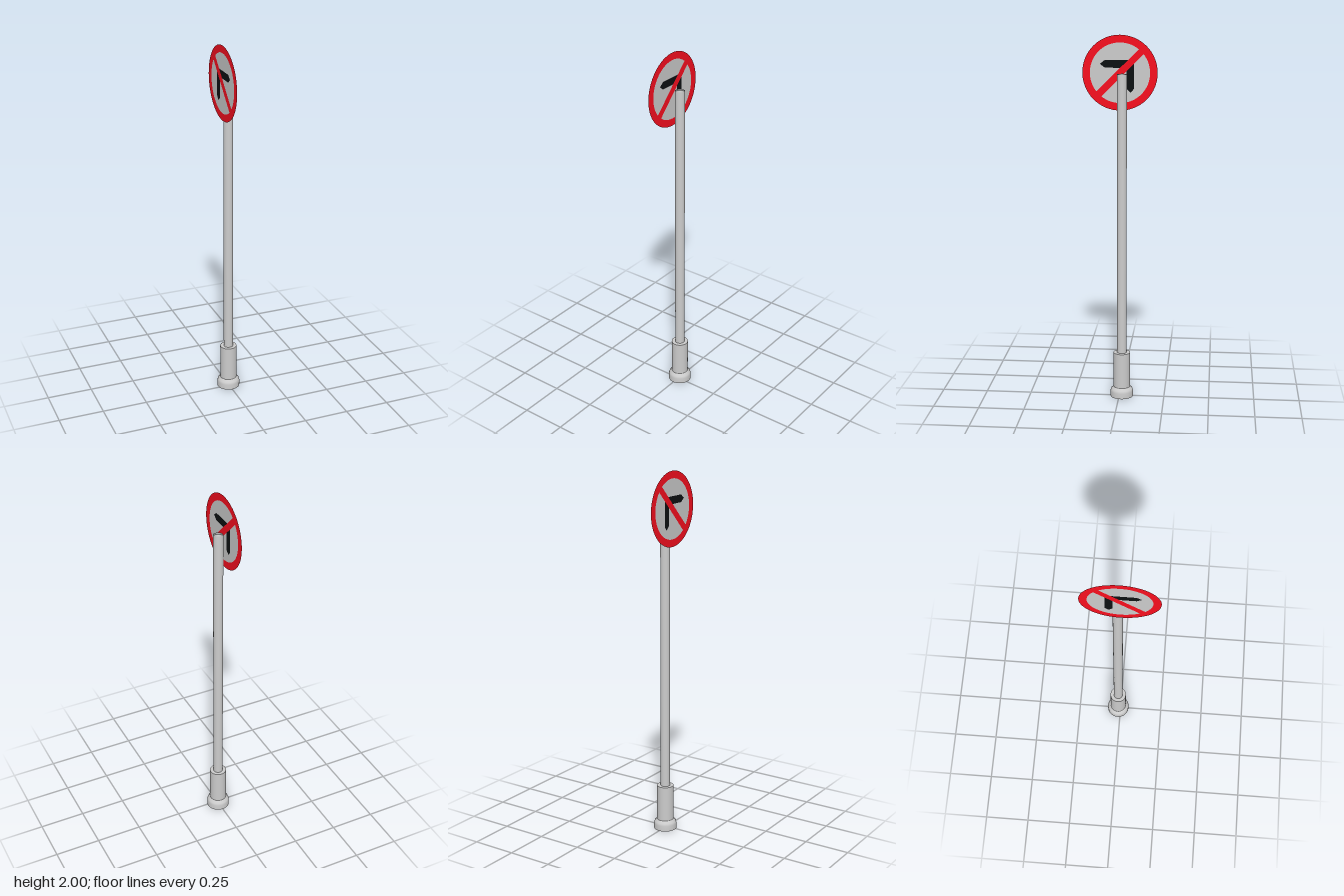
import * as THREE from 'three';

const POLE_Z = -0.014;
const SIGN = { x: -0.037, y: 1.8, radius: 0.2, inner: 0.16 };

const grey = new THREE.MeshStandardMaterial({ color: 0xcccccc });
const flat = (color) => new THREE.MeshStandardMaterial({ color, side: THREE.DoubleSide });

// Turned part, profile given as [radius, height] from the bottom up
function turned(name, profile) {
  const points = profile.map(([r, y]) => new THREE.Vector2(r, y));
  const mesh = new THREE.Mesh(new THREE.LatheGeometry(points, 40), grey);
  mesh.name = name;
  mesh.position.z = POLE_Z;
  return mesh;
}

function polygon(points) {
  return new THREE.ShapeGeometry(new THREE.Shape(points.map(([u, v]) => new THREE.Vector2(u, v))));
}

export function createModel() {
  const model = new THREE.Group();
  model.name = 'roadSign';

  // Post: foot, sleeve and slim pole with a softly shaded cap
  model.add(
    turned('footBottom', [[0, 0], [0.063, 0]]),
    turned('foot', [[0.063, 0], [0.063, 0.03], [0.059, 0.043], [0.046, 0.056]]),
    turned('sleeve', [[0.046, 0.056], [0.046, 0.255]]),
    turned('sleeveTop', [[0.046, 0.255], [0.024, 0.255]]),
    turned('pole', [[0.026, 0.25], [0.026, 1.797], [0, 1.8]])
  );

  // Sign plate, drawn in its own plane: u runs towards -z, v runs up
  const sign = new THREE.Group();
  sign.name = 'signPlate';
  sign.position.set(SIGN.x, SIGN.y, 0);
  sign.rotation.y = Math.PI / 2;
  model.add(sign);

  const addLayer = (name, geometry, material, offset = 0) => {
    const mesh = new THREE.Mesh(geometry, material);
    mesh.name = name;
    mesh.position.z = offset;
    sign.add(mesh);
  };

  const red = flat(0xf80f1f);
  const black = flat(0x0d1012);
  addLayer('signFace', new THREE.CircleGeometry(SIGN.inner, 64), flat(0xcccccc));
  addLayer('signRim', new THREE.RingGeometry(SIGN.inner, SIGN.radius, 64, 1), red);

  // Bent arrow with a notched tail, and the diagonal bar over it
  const arrow = polygon([
    [-0.106, 0.047], [-0.08, 0.068], [0.062, 0.068], [0.074, 0.056], [0.074, -0.085],
    [0.056, -0.105], [0.036, -0.085], [0.036, 0.027], [-0.08, 0.027]
  ]);
  const bar = new THREE.PlaneGeometry(0.326, 0.036).rotateZ(Math.PI / 4);
  for (const side of [-1, 1]) {
    addLayer('arrow', arrow, black, side * 0.001);
    addLayer('diagonalBar', bar, red, side * 0.002);
  }

  return model;
}
